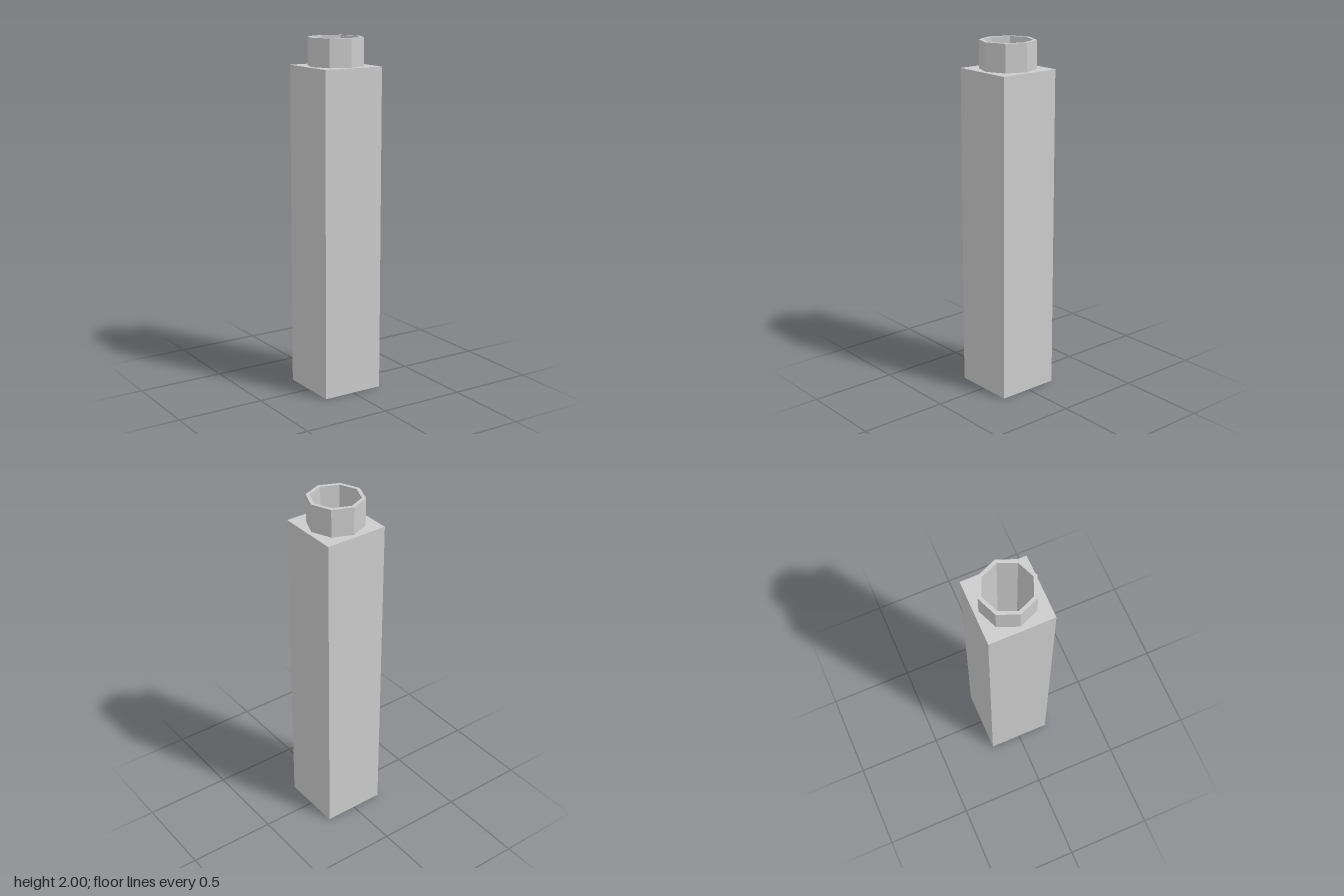
import * as THREE from 'three';

const HALF = 0.182, SHOULDER = 1.843, TOP = 2;
const OUTER = 0.157, INNER = 0.136, FLOOR = 0.09;

export function createModel() {
  const group = new THREE.Group();
  const material = new THREE.MeshStandardMaterial({
    color: 0xcccccc, flatShading: true, side: THREE.DoubleSide,
  });
  const add = (name, geometry) => {
    const mesh = new THREE.Mesh(geometry, material);
    mesh.name = name;
    group.add(mesh);
    return mesh;
  };

  // Square body: four thin walls, open underneath
  const radius = HALF * Math.SQRT2;
  const walls = new THREE.CylinderGeometry(radius, radius, SHOULDER, 4, 1, true, Math.PI / 4);
  add('bodyWalls', walls).position.y = SHOULDER / 2;

  // Shoulder: square plate with an octagonal opening for the neck
  const plate = new THREE.Shape([[-1, -1], [1, -1], [1, 1], [-1, 1]]
    .map(([x, y]) => new THREE.Vector2(x * HALF, y * HALF)));
  const opening = [];
  for (let i = 0; i < 8; i++) {
    const a = -i * Math.PI / 4;
    opening.push(new THREE.Vector2(Math.cos(a) * OUTER, Math.sin(a) * OUTER));
  }
  plate.holes.push(new THREE.Path(opening));
  const shoulder = new THREE.ShapeGeometry(plate);
  shoulder.rotateX(-Math.PI / 2);
  add('shoulder', shoulder).position.y = SHOULDER;

  // Eight-sided neck and rim, with the bore running down to its floor
  const profile = [
    [OUTER, SHOULDER], [OUTER, TOP], [INNER, TOP], [INNER, FLOOR], [0, FLOOR],
  ].map(([r, y]) => new THREE.Vector2(r, y));
  add('neckAndBore', new THREE.LatheGeometry(profile, 8));

  return group;
}
